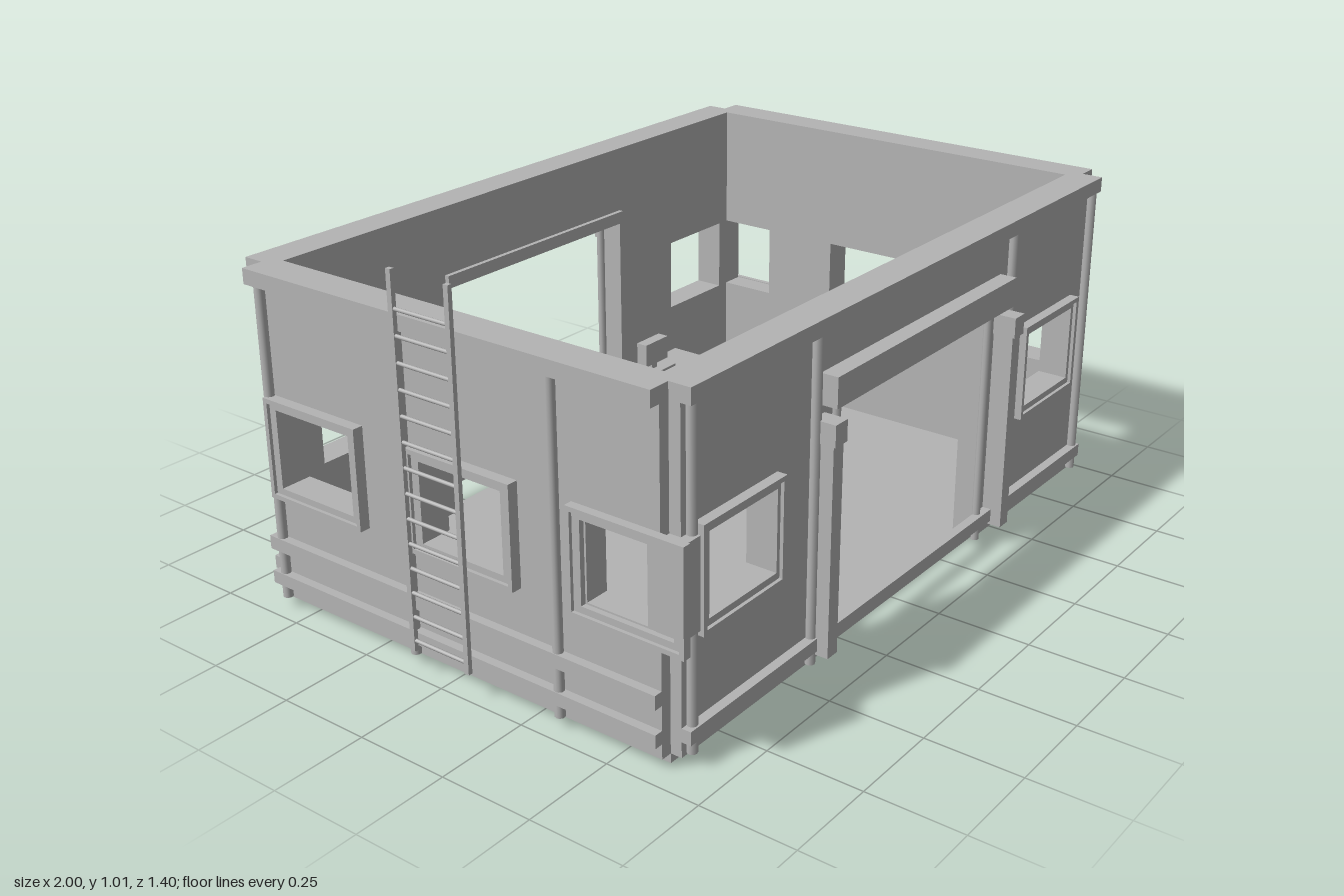
import * as THREE from 'three';

const grey = new THREE.MeshStandardMaterial({ color: 0xb4b4b4 });
grey.name = 'plain grey';

const add = (parent, name, geo) => {
  const m = new THREE.Mesh(geo, grey);
  m.name = name;
  parent.add(m);
  return m;
};

// box given by its limits on each axis
const box = (parent, name, x0, x1, y0, y1, z0, z1) =>
  add(parent, name, new THREE.BoxGeometry(x1 - x0, y1 - y0, z1 - z0)
    .translate((x0 + x1) / 2, (y0 + y1) / 2, (z0 + z1) / 2));

const pole = (parent, name, x, y0, y1, z, r = 0.013) =>
  add(parent, name, new THREE.CylinderGeometry(r, r, y1 - y0, 10).translate(x, (y0 + y1) / 2, z));

const rect = (Type, x0, x1, y0, y1) => {
  const s = new Type();
  s.moveTo(x0, y0);
  s.lineTo(x1, y0);
  s.lineTo(x1, y1);
  s.lineTo(x0, y1);
  s.closePath();
  return s;
};

// upright slab with rectangular holes [x0, x1, y0, y1]
const slab = (parent, name, outline, holes, z0, z1) => {
  holes.forEach(h => outline.holes.push(rect(THREE.Path, ...h)));
  const geo = new THREE.ExtrudeGeometry(outline, { depth: z1 - z0, bevelEnabled: false });
  return add(parent, name, geo.translate(0, 0, z0));
};

// stepped window surround: [frame left, frame right, hole left, hole right]
const windowFrame = (parent, [a, b, h0, h1], z0, z1) => {
  const g = new THREE.Group();
  g.name = 'windowFrame';
  parent.add(g);
  slab(g, 'frameRim', rect(THREE.Shape, a, b, 0.313, 0.578),
    [[a + 0.012, b - 0.012, 0.325, 0.566]], z0, z1);
  slab(g, 'frameInner', rect(THREE.Shape, a + 0.012, b - 0.012, 0.325, 0.566),
    [[h0, h1, 0.342, 0.55]], z0, z1 - 0.009);
};

// long wall with the wide doorway
function longWall() {
  const g = new THREE.Group();
  g.name = 'longWall';
  const wins = [[-0.883, -0.58, -0.853, -0.603], [0.537, 0.842, 0.567, 0.817]];
  const outline = new THREE.Shape();
  [[-0.927, 0.025], [-0.361, 0.025], [-0.361, 0.68], [0.361, 0.68],
    [0.361, 0.025], [0.927, 0.025], [0.927, 0.9], [-0.927, 0.9]]
    .forEach(([x, y], i) => (i ? outline.lineTo(x, y) : outline.moveTo(x, y)));
  slab(g, 'wallPanel', outline, wins.map(w => [w[2], w[3], 0.342, 0.55]), 0.575, 0.64);
  wins.forEach(w => windowFrame(g, w, 0.64, 0.667));
  box(g, 'topBand', -0.927, 0.927, 0.86, 0.9, 0.64, 0.667);
  box(g, 'lowRail', -0.927, 0.927, 0.065, 0.1, 0.64, 0.665);
  [-0.9, -0.443, 0.463, 0.912].forEach(x => pole(g, 'wallPole', x, 0.03, 0.865, 0.648));

  // doorway surround
  box(g, 'doorLintel', -0.415, 0.417, 0.68, 0.757, 0.64, 0.686);
  box(g, 'innerLintel', -0.361, 0.361, 0.68, 0.715, 0.562, 0.575);
  for (const s of [-1, 1]) {
    box(g, 'doorPost', s * 0.42 - 0.02, s * 0.42 + 0.02, 0.055, 0.61, 0.64, 0.695);
    box(g, 'postCap', s * 0.42 - 0.024, s * 0.42 + 0.024, 0.6, 0.655, 0.64, 0.702);
    pole(g, 'doorJambPole', s * 0.355, 0.025, 0.678, 0.645, 0.011);
  }
  return g;
}

// short wall, built facing +z and then turned to face +x
function shortWall() {
  const g = new THREE.Group();
  g.name = 'shortWall';
  const wins = [[-0.58, -0.267, -0.547, -0.298], [-0.102, 0.215, -0.068, 0.182],
    [0.375, 0.692, 0.408, 0.66]];
  slab(g, 'wallPanel', rect(THREE.Shape, -0.61, 0.61, 0.025, 0.9),
    wins.map(w => [w[2], Math.min(w[3], 0.575), 0.342, 0.55]), 0.891, 0.957);
  wins.forEach((w, i) => windowFrame(g, w, i === 2 ? 0.963 : 0.957, 0.986));
  // block behind the window frame that overhangs the corner
  box(g, 'cornerBlock', 0.6, 0.667, 0.335, 0.56, 0.895, 0.964);
  box(g, 'topBand', -0.61, 0.61, 0.86, 0.9, 0.957, 0.985);
  box(g, 'lowRail', -0.61, 0.61, 0.064, 0.098, 0.957, 0.98);
  box(g, 'midRail', -0.61, 0.61, 0.16, 0.196, 0.957, 0.98);
  [-0.578, -0.125, 0.327].forEach(x => pole(g, 'wallPole', x, 0.03, 0.865, 0.966));
  g.rotation.y = Math.PI / 2;
  return g;
}

function ladder() {
  const g = new THREE.Group();
  g.name = 'ladder';
  for (const s of [-1, 1])
    box(g, 'ladderRail', -1, -0.988, 0.07, 1.015, s * 0.086 - 0.007, s * 0.086 + 0.007);
  for (let i = 0; i < 14; i++) {
    const rung = new THREE.CylinderGeometry(0.005, 0.005, 0.172, 8).rotateX(Math.PI / 2);
    add(g, 'ladderRung', rung.translate(-0.994, 0.923 - i * 0.0635, 0));
  }
  return g;
}

function furniture() {
  const g = new THREE.Group();
  g.name = 'furniture';
  box(g, 'storageBox', -0.61, -0.353, 0.02, 0.18, 0.435, 0.575);
  box(g, 'deskTop', 0.374, 0.635, 0.18, 0.2, -0.58, -0.445);
  for (const x of [0.385, 0.605]) box(g, 'deskSide', x, x + 0.02, 0.02, 0.18, -0.58, -0.465);
  box(g, 'screenStand', 0.455, 0.48, 0.2, 0.225, -0.54, -0.525);
  box(g, 'screen', 0.416, 0.52, 0.22, 0.29, -0.55, -0.515);
  box(g, 'keyboard', 0.416, 0.52, 0.2, 0.207, -0.5, -0.485);
  return g;
}

export function createModel() {
  const model = new THREE.Group();
  model.name = 'roofless building';

  // opposite walls are half-turn copies of each other
  const house = new THREE.Group();
  house.name = 'house';
  house.position.x = 0.013;
  box(house, 'floor', -0.927, 0.927, 0, 0.025, -0.61, 0.61);
  for (const turn of [0, Math.PI]) {
    const half = new THREE.Group();
    half.name = turn ? 'backAndRightWalls' : 'frontAndLeftWalls';
    half.add(longWall(), shortWall());
    half.rotation.y = turn;
    house.add(half);
  }
  model.add(house, ladder(), furniture());
  return model;
}
